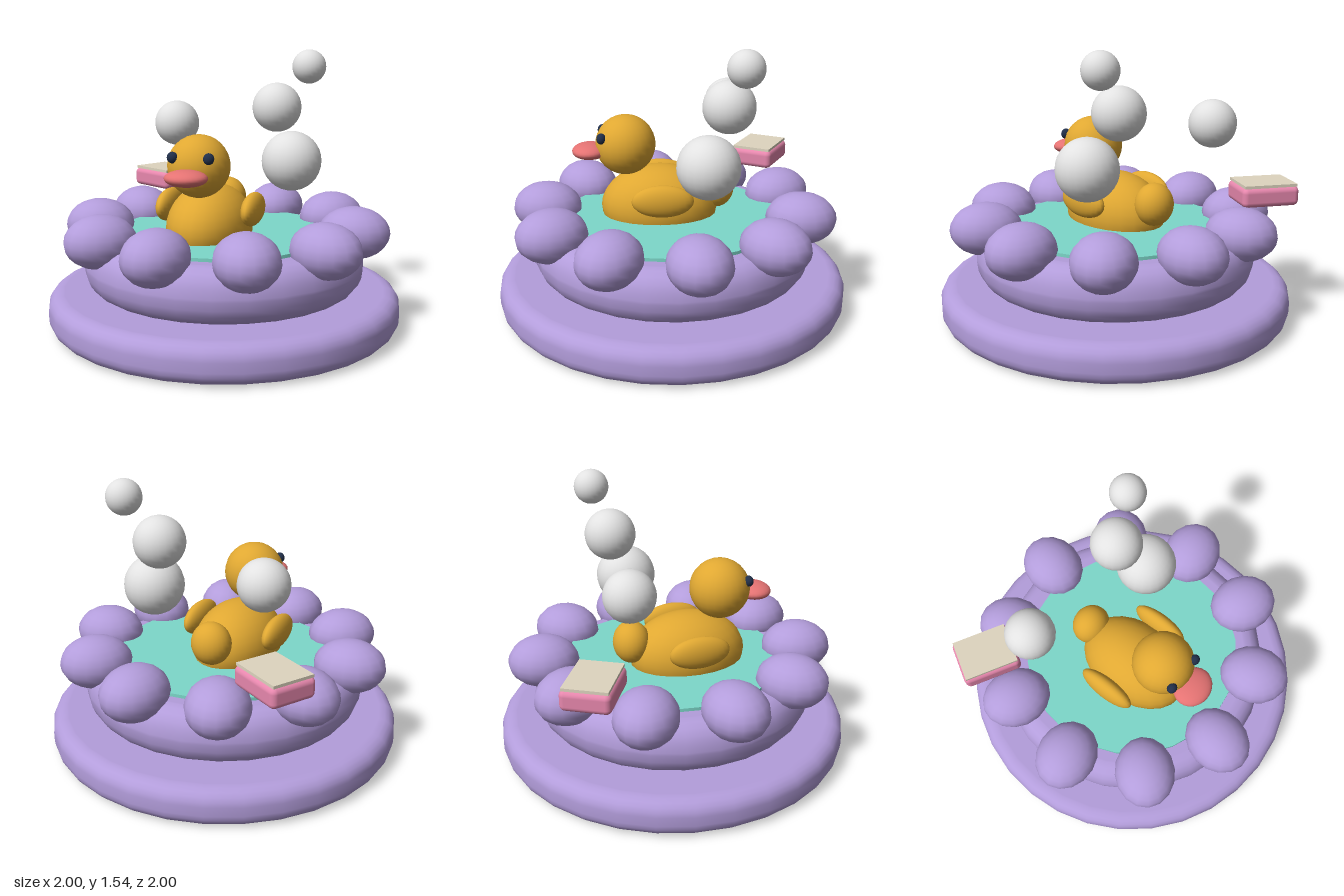
import * as THREE from 'three';
import { RoundedBoxGeometry } from 'three/addons/geometries/RoundedBoxGeometry.js';

function material(name, color) {
  const m = new THREE.MeshStandardMaterial({ color });
  m.name = name;
  return m;
}

// Disc with rounded outer edges, closed top and bottom, turned from a profile
function roundedDisc(radius, y0, y1, inset, rise, segments) {
  const pts = [new THREE.Vector2(0, y0), new THREE.Vector2(radius - inset - 0.01, y0)];
  const steps = 5;
  for (let i = 0; i <= steps; i++) {
    const a = (i / steps) * Math.PI / 2;
    pts.push(new THREE.Vector2(radius - inset + inset * Math.sin(a), y0 + rise * (1 - Math.cos(a))));
  }
  for (let i = 0; i <= steps; i++) {
    const a = (i / steps) * Math.PI / 2;
    pts.push(new THREE.Vector2(radius - inset + inset * Math.cos(a), y1 - rise * (1 - Math.sin(a))));
  }
  pts.push(new THREE.Vector2(radius - inset - 0.01, y1), new THREE.Vector2(0, y1));
  return new THREE.LatheGeometry(pts, segments);
}

export function createModel() {
  const model = new THREE.Group();
  model.name = 'bathTub';

  const lilac = material('lilac', 0xb39ddb);
  const water = material('waterTeal', 0x7dd8ca);
  const yellow = material('duckYellow', 0xe0a832);
  const coral = material('beakCoral', 0xe57373);
  const navy = material('eyeNavy', 0x22304a);
  const white = material('bubbleWhite', 0xe2e2e2);
  const pink = material('soapPink', 0xe888ae);
  const cream = material('soapCream', 0xded5bf);

  function add(parent, name, geometry, mat, x = 0, y = 0, z = 0) {
    const mesh = new THREE.Mesh(geometry, mat);
    mesh.name = name;
    mesh.position.set(x, y, z);
    parent.add(mesh);
    return mesh;
  }

  function ellipsoid(parent, name, mat, [x, y, z], [rx, ry, rz], w = 24, h = 16) {
    const geometry = new THREE.SphereGeometry(1, w, h).scale(rx, ry, rz);
    return add(parent, name, geometry, mat, x, y, z);
  }

  // Base, tub and water
  add(model, 'base', roundedDisc(1, 0, 0.21, 0.08, 0.08, 32), lilac);
  add(model, 'tub', roundedDisc(0.795, 0.21, 0.505, 0.11, 0.14, 28), lilac);
  add(model, 'water', new THREE.CylinderGeometry(0.625, 0.625, 0.04, 24), water, 0, 0.503, 0);

  // Ring of puffy cushions around the rim
  for (let i = 0; i < 10; i++) {
    const a = THREE.MathUtils.degToRad(-8 + i * 36);
    const puff = ellipsoid(model, 'rimCushion', lilac,
      [0.735 * Math.cos(a), 0.537, 0.735 * Math.sin(a)], [0.2, 0.147, 0.171], 16, 12);
    puff.rotation.y = -a;
  }

  // Duck
  const duck = new THREE.Group();
  duck.name = 'duck';
  duck.position.x = -0.06;
  model.add(duck);
  ellipsoid(duck, 'body', yellow, [0, 0.57, 0.07], [0.235, 0.235, 0.335]);
  ellipsoid(duck, 'head', yellow, [0, 0.93, 0.262], [0.171, 0.171, 0.171]);
  ellipsoid(duck, 'tail', yellow, [0, 0.67, -0.257], [0.114, 0.12, 0.104]);
  ellipsoid(duck, 'beak', coral, [0, 0.895, 0.465], [0.116, 0.045, 0.1]);
  for (const side of [-1, 1]) {
    ellipsoid(duck, 'wing', yellow, [side * 0.248, 0.67, 0.06], [0.055, 0.092, 0.172]);
    ellipsoid(duck, 'eye', navy, [side * 0.1, 0.99, 0.395], [0.03, 0.031, 0.027], 14, 10);
  }

  // Floating bubbles: x, y, z, radius
  const bubbles = [
    [-0.415, 1.095, -0.355, 0.136],
    [0.35, 0.915, -0.175, 0.171],
    [0.233, 1.21, -0.29, 0.143],
    [0.408, 1.445, -0.35, 0.098],
  ];
  for (const [x, y, z, r] of bubbles) ellipsoid(model, 'bubble', white, [x, y, z], [r, r, r]);

  // Soap bar with a thin pale top
  const soap = new THREE.Group();
  soap.name = 'soap';
  soap.position.set(-0.59, 0, -0.59);
  soap.rotation.y = THREE.MathUtils.degToRad(-29);
  model.add(soap);
  add(soap, 'soapBar', new RoundedBoxGeometry(0.33, 0.11, 0.26, 3, 0.03), pink, 0, 0.712, 0);
  add(soap, 'soapTop', new THREE.BoxGeometry(0.305, 0.016, 0.235), cream, 0, 0.773, 0);

  return model;
}
